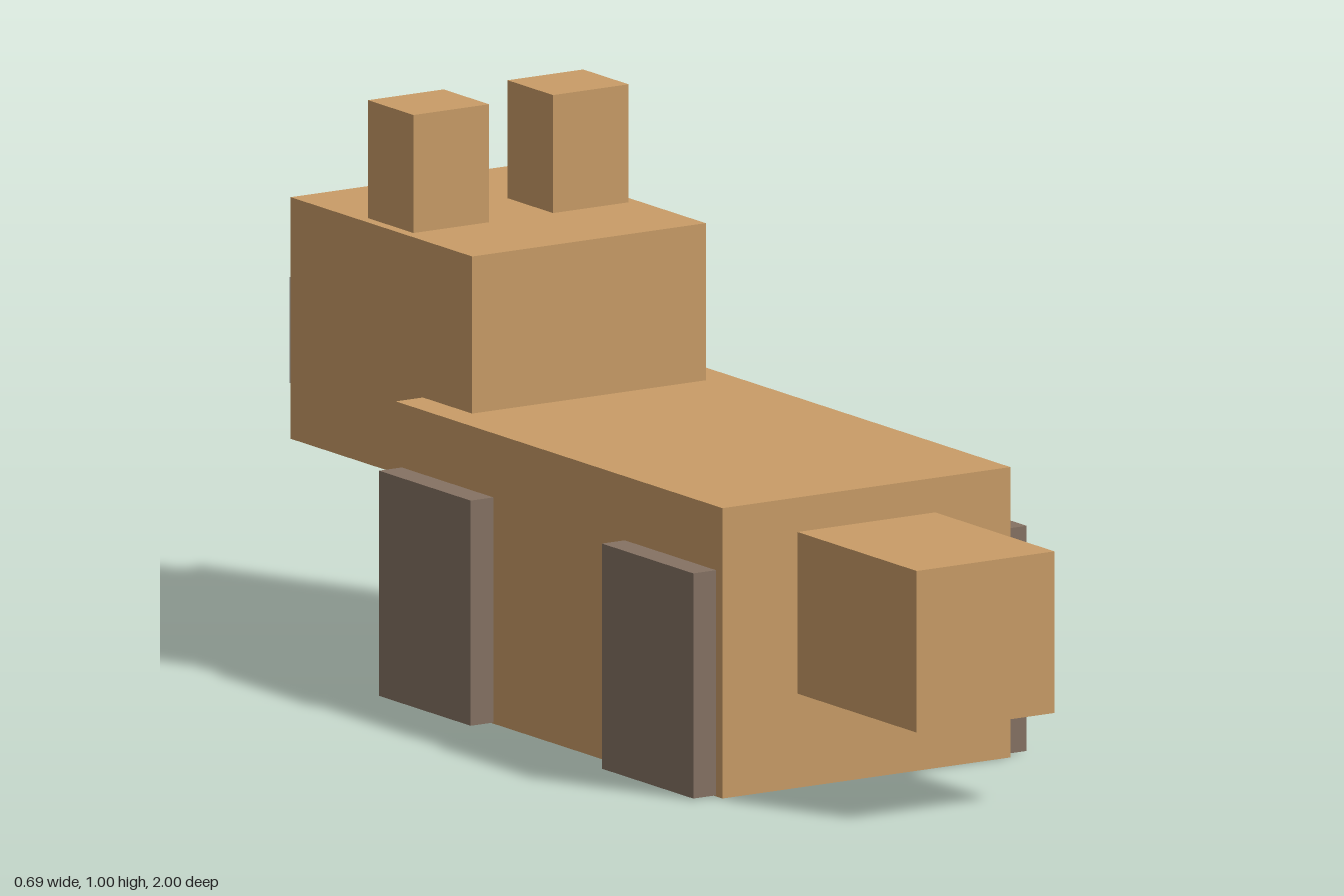
import * as THREE from 'three';

const material = (name, color) => {
  const m = new THREE.MeshStandardMaterial({ color });
  m.name = name;
  return m;
};

export function createModel() {
  const model = new THREE.Group();
  model.name = 'blockAnimal';
  const fur = material('tanFur', 0xc99c67);
  const legFur = material('darkBrownFur', 0x857263);
  const muzzle = material('lightGrey', 0xc8c8c4);

  // Box given by its limits along each axis
  const block = (name, mat, [x0, x1], [y0, y1], [z0, z1]) => {
    const mesh = new THREE.Mesh(new THREE.BoxGeometry(x1 - x0, y1 - y0, z1 - z0), mat);
    mesh.position.set((x0 + x1) / 2, (y0 + y1) / 2, (z0 + z1) / 2);
    mesh.name = name;
    model.add(mesh);
  };

  // Torso, head, muzzle and tail; the head points to -z
  block('body', fur, [-0.297, 0.297], [0, 0.512], [-0.392, 0.628]);
  block('head', fur, [-0.241, 0.241], [0.363, 0.789], [-0.805, -0.238]);
  block('snout', muzzle, [-0.114, 0.114], [0.41, 0.597], [-1, -0.8]);
  block('tail', fur, [-0.142, 0.142], [0.166, 0.451], [0.62, 1]);

  // Mirrored ears and legs; legs sit just above the belly plane
  for (const [side, s] of [['left', 1], ['right', -1]]) {
    const span = (a, b) => (s > 0 ? [a, b] : [-b, -a]);
    block(`${side}Ear`, fur, span(0.066, 0.222), [0.78, 0.997], [-0.592, -0.45]);
    block(`${side}HeadEndLeg`, legFur, span(0.06, 0.344), [0.002, 0.399], [-0.373, -0.087]);
    block(`${side}TailEndLeg`, legFur, span(0.06, 0.344), [0.002, 0.399], [0.323, 0.608]);
  }
  return model;
}
